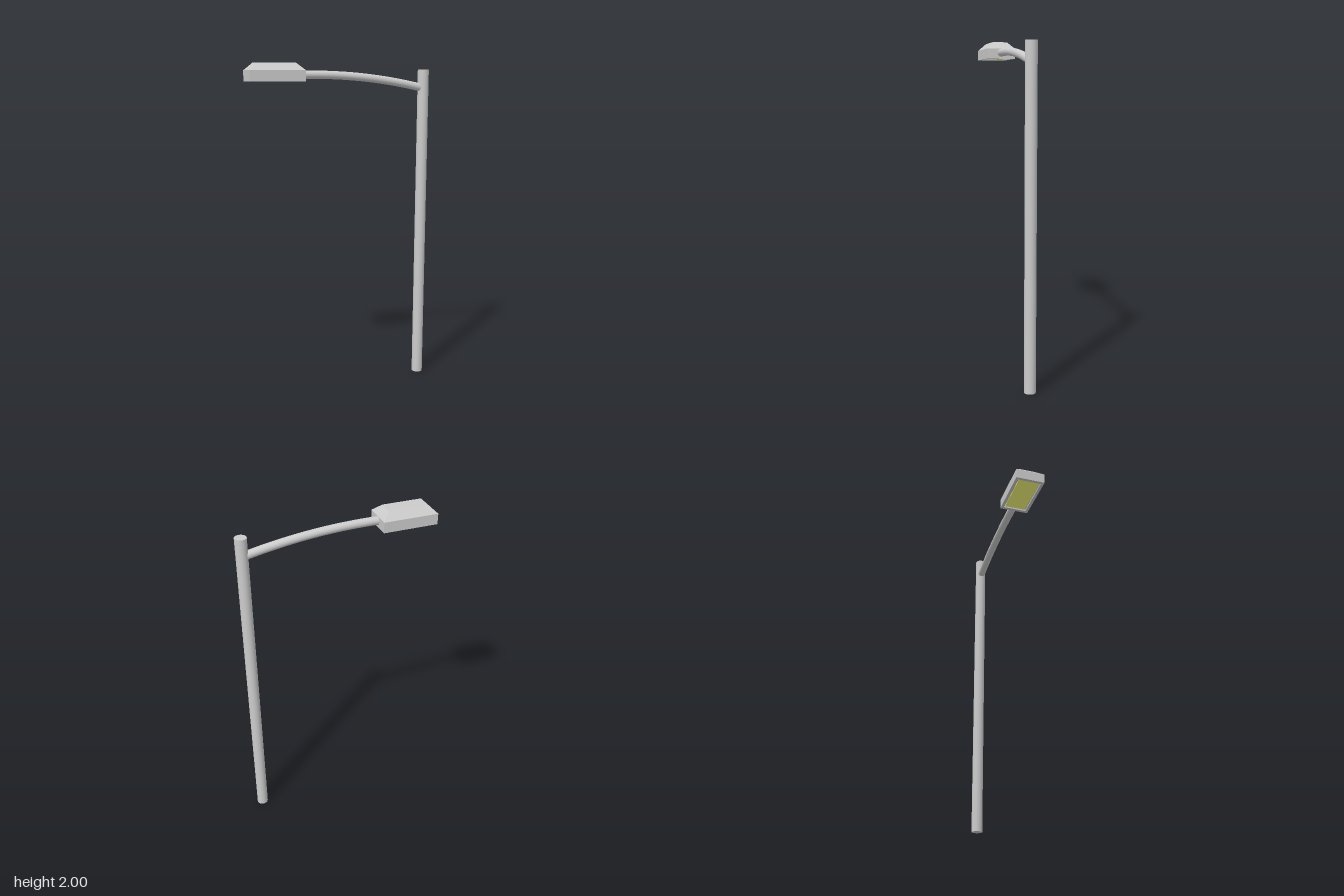
import * as THREE from 'three';

const grey = (opts = {}) => new THREE.MeshStandardMaterial({ color: 0xcccccc, ...opts });

function add(group, name, geometry, material) {
  const mesh = new THREE.Mesh(geometry, material);
  mesh.name = name;
  group.add(mesh);
  return mesh;
}

// Joins rectangular sections [halfX, y, halfZ], each centred on the axis
function rectLoft(sections) {
  const pos = [], idx = [];
  for (const [hx, y, hz] of sections) pos.push(-hx, y, hz, hx, y, hz, hx, y, -hz, -hx, y, -hz);
  for (let s = 0; s < sections.length - 1; s++) {
    for (let i = 0; i < 4; i++) {
      const a = s * 4 + i, b = s * 4 + (i + 1) % 4;
      idx.push(a, b, b + 4, a, b + 4, a + 4);
    }
  }
  const t = (sections.length - 1) * 4;
  idx.push(t, t + 1, t + 2, t, t + 2, t + 3); // top cap
  idx.push(0, 2, 1, 0, 3, 2); // recess ceiling
  const g = new THREE.BufferGeometry();
  g.setAttribute('position', new THREE.Float32BufferAttribute(pos, 3));
  g.setIndex(idx);
  const flat = g.toNonIndexed();
  flat.computeVertexNormals();
  return flat;
}

export function createModel() {
  const model = new THREE.Group();
  model.name = 'streetLamp';

  // Upright pole
  const poleHeight = 1.965;
  const pole = add(model, 'pole', new THREE.CylinderGeometry(0.034, 0.034, poleHeight, 32), grey());
  pole.position.set(0.533, poleHeight / 2, 0);

  // Curved arm from the pole to the lamp head
  const path = new THREE.QuadraticBezierCurve3(
    new THREE.Vector3(0.52, 1.855, 0),
    new THREE.Vector3(0.14, 1.941, 0),
    new THREE.Vector3(-0.25, 1.932, 0)
  );
  add(model, 'arm', new THREE.TubeGeometry(path, 24, 0.024, 24), grey({ side: THREE.DoubleSide }));

  // Lamp head: hipped housing with a shallow recess underneath
  const head = new THREE.Group();
  head.name = 'lampHead';
  head.position.x = -0.408;
  model.add(head);
  add(head, 'housing', rectLoft([
    [0.144, 1.905, 0.072],
    [0.144, 1.895, 0.072],
    [0.163, 1.895, 0.09],
    [0.163, 1.958, 0.09],
    [0.118, 2.0, 0.045],
  ]), grey({ flatShading: true }));

  // Light panel set into the recess
  const panel = add(head, 'lightPanel', new THREE.BoxGeometry(0.276, 0.006, 0.132),
    new THREE.MeshStandardMaterial({ color: 0xffff80 }));
  panel.position.y = 1.903;

  return model;
}
